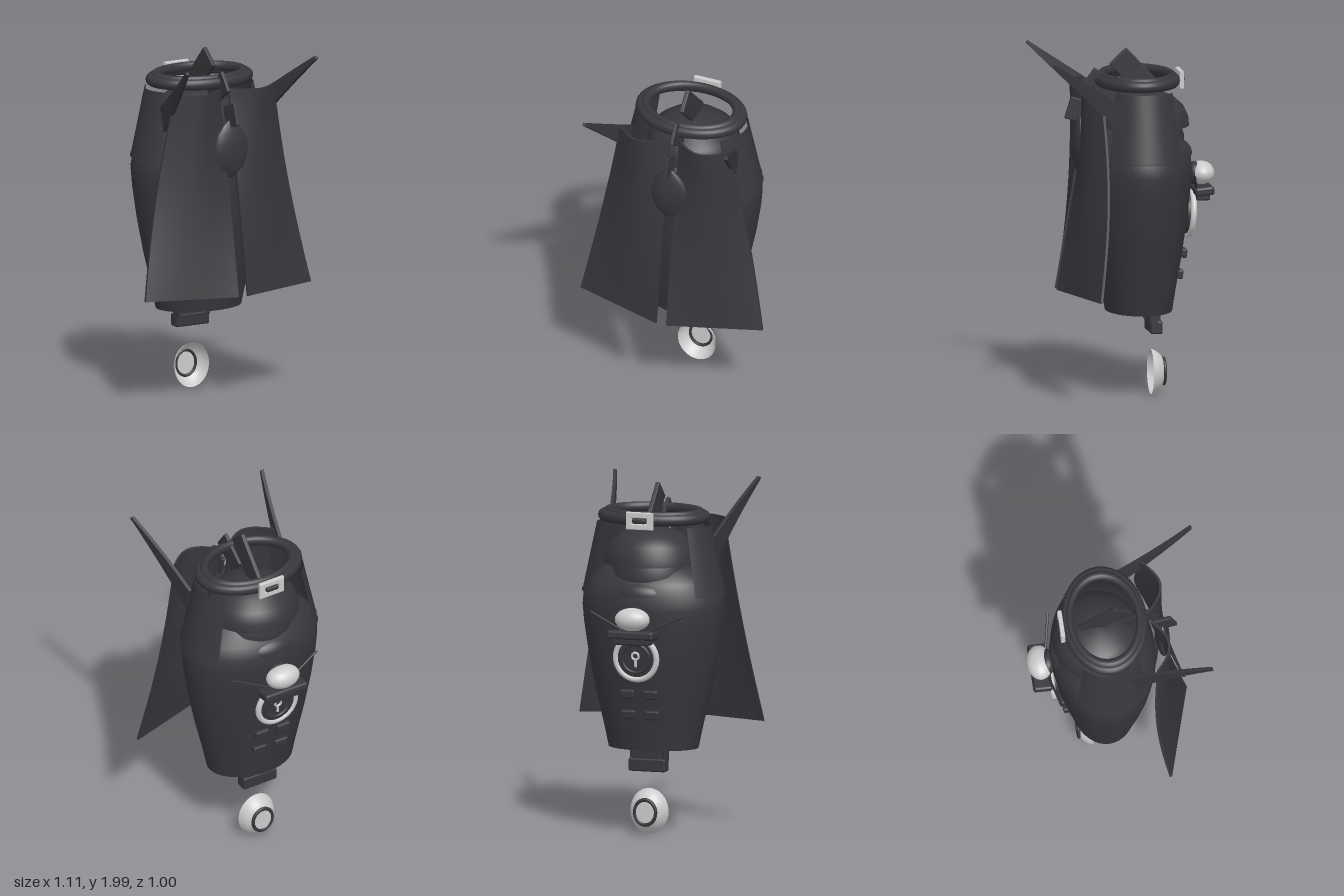
import * as THREE from 'three';
import { toCreasedNormals } from 'three/addons/utils/BufferGeometryUtils.js';
import { RoundedBoxGeometry } from 'three/addons/geometries/RoundedBoxGeometry.js';

const dark = new THREE.MeshStandardMaterial({ color: 0x37373c, side: THREE.DoubleSide });
const white = new THREE.MeshStandardMaterial({ color: 0xf0f0f0, side: THREE.DoubleSide });
const lerp = THREE.MathUtils.lerp;

export function createModel() {
  const model = new THREE.Group();

  const add = (name, geometry, material, x = 0, y = 0, z = 0, parent = model) => {
    const mesh = new THREE.Mesh(geometry, material);
    mesh.name = name;
    mesh.position.set(x, y, z);
    parent.add(mesh);
    return mesh;
  };
  const rbox = (w, h, d, r = 0.01) => new RoundedBoxGeometry(w, h, d, 2, r);
  const lathe = (pts, segments = 64) =>
    toCreasedNormals(new THREE.LatheGeometry(pts.map(p => new THREE.Vector2(...p)), segments), 0.6);
  // Thin sheet: fn maps u, v in 0..1 and thickness offset w to a point
  const sheet = (nu, nv, fn) => {
    const g = new THREE.BoxGeometry(1, 1, 1, nu, nv, 1);
    const p = g.attributes.position;
    for (let i = 0; i < p.count; i++) {
      p.setXYZ(i, ...fn(p.getX(i) + 0.5, p.getY(i) + 0.5, p.getZ(i)));
    }
    g.computeVertexNormals();
    return g;
  };

  // Torso shell, open at the bottom and closed at the shoulders
  const torso = add('torso', lathe([
    [0.262, 0.49], [0.29, 0.62], [0.338, 0.82], [0.378, 1.02], [0.405, 1.2],
    [0.414, 1.3], [0.408, 1.38], [0.37, 1.45], [0.29, 1.52], [0.15, 1.58], [0, 1.6],
  ]), dark, 0, 0, -0.07);
  torso.scale.z = 0.72;

  // Wrapped scarf under the collar
  const scarf = add('scarf', lathe([
    [0.2, 1.38], [0.225, 1.44], [0.23, 1.49], [0.21, 1.55], [0.257, 1.55], [0.252, 1.6],
    [0.225, 1.66], [0.17, 1.71], [0.1, 1.74], [0, 1.75],
  ]), dark, 0, 0, -0.1);
  scarf.scale.x = 1.05;
  const knot = add('scarfKnot', new THREE.SphereGeometry(1, 32, 12, 0, Math.PI * 2, 0, Math.PI / 2), dark, 0, 1.385, -0.29);
  knot.scale.set(0.15, 0.08, 0.085);

  // Collar rings
  for (const [r, tube, y] of [[0.295, 0.032, 1.812], [0.268, 0.028, 1.832]]) {
    const ring = add('collarRing', new THREE.TorusGeometry(r, tube, 16, 72), dark, 0, y, -0.06);
    ring.rotation.x = Math.PI / 2;
    ring.scale.y = 0.74;
  }

  // Collar buckle: a rounded frame with a dark centre
  const frame = new THREE.Shape();
  frame.moveTo(-0.075, -0.045).lineTo(0.075, -0.045).lineTo(0.075, 0.045).lineTo(-0.075, 0.045).closePath();
  const hole = new THREE.Path();
  hole.moveTo(-0.05, -0.022).lineTo(-0.05, 0.022).lineTo(0.05, 0.022).lineTo(0.05, -0.022).closePath();
  frame.holes.push(hole);
  add('collarBuckle', new THREE.ExtrudeGeometry(frame, {
    depth: 0.015, bevelThickness: 0.005, bevelSize: 0.005, bevelSegments: 2,
  }), white, 0, 1.812, -0.315);
  add('buckleCentre', rbox(0.08, 0.03, 0.04), dark, 0, 1.812, -0.31);

  // Mirrored side parts
  for (const side of [1, -1]) {
    const half = new THREE.Group();
    half.name = side > 0 ? 'leftSide' : 'rightSide';
    half.scale.x = side;
    model.add(half);

    // Cape panel: folded at the top, flaring and flattening downwards
    add('capePanel', sheet(24, 24, (u, v, w) => [
      lerp(0.03, lerp(0.555, 0.33, v), u),
      lerp(0.62, 1.785, v),
      lerp(lerp(0.4, 0.24, u), 0.2, v) + 0.085 * v * Math.sin(Math.PI * u)
        - 0.04 * u * Math.sin(Math.PI * v) + 0.014 * w,
    ]), dark, 0, 0, 0, half);

    // Shoulder spike, curving outwards to its tip
    add('shoulderSpike', sheet(16, 2, (u, v, w) => [
      0.32 + 0.08 * u + 0.032 * u * u + 0.02 * w,
      lerp(lerp(1.55, 1.69, v), lerp(1.965, 1.98, v), u),
      lerp(lerp(0.08, 0.045, v), lerp(0.5, 0.49, v), u),
    ]), dark, 0, 0, 0, half);

    // Shoulder panel wrapping the side, with a thin hem
    const panel = (name, rTop, rBottom, h, y) => {
      const m = add(name, new THREE.CylinderGeometry(rTop, rBottom, h, 24, 1, true, 0.8, 1.47), dark, 0, y, -0.065, half);
      m.scale.z = 0.73;
    };
    panel('shoulderPanel', 0.332, 0.416, 0.39, 1.575);
    panel('panelHem', 0.418, 0.42, 0.012, 1.384);

    // Whisker rod beside the lamp
    const path = new THREE.LineCurve3(new THREE.Vector3(0.07, 1.19, -0.39), new THREE.Vector3(0.28, 1.285, -0.345));
    add('whiskerRod', new THREE.TubeGeometry(path, 1, 0.007, 8), dark, 0, 0, 0, half);

    // Pouches
    for (const [y, z] of [[0.82, -0.315], [0.7, -0.292]]) {
      add('pouch', rbox(0.085, 0.052, 0.035), dark, 0.07, y, z, half).rotation.x = -0.12;
    }
    add('postStrip', rbox(0.02, 0.1, 0.05, 0.005), dark, 0.1, 0.47, -0.14, half);
  }

  // Tilted fin plates along the centre line
  for (const [z, y, len, h, tilt, thick] of [
    [-0.06, 1.833, 0.32, 0.135, 0.82, 0.026],
    [0.14, 1.775, 0.2, 0.13, 0.62, 0.022],
    [0.28, 1.645, 0.12, 0.13, 0.3, 0.022],
  ]) {
    add('finPlate', rbox(thick, h, len, 0.006), dark, 0, y, z).rotation.x = -tilt;
  }

  // Teardrop boss between the cape panels
  const boss = add('backBoss', lathe([
    [0, -0.17], [0.05, -0.155], [0.092, -0.105], [0.115, -0.03], [0.112, 0.03],
    [0.088, 0.09], [0.05, 0.135], [0.02, 0.16], [0, 0.165],
  ], 40), dark, 0, 1.455, 0.27);
  boss.scale.z = 0.36;

  // Back strap and its clasps
  add('backStrap', sheet(1, 12, (u, v, w) => [
    (u - 0.5) * 0.07, lerp(0.62, 1.35, v), lerp(0.15, 0.235, Math.sin(v * Math.PI / 2)) + 0.015 * w,
  ]), dark);
  add('strapClasp', rbox(0.055, 0.09, 0.04), white, 0, 0.69, 0.18);
  add('strapClasp', rbox(0.055, 0.038, 0.03), white, 0, 0.825, 0.195);

  // Chest dial with keyhole, tilted to follow the torso
  const dial = new THREE.Group();
  dial.name = 'chestDial';
  dial.position.set(0, 1.035, -0.355);
  dial.rotation.x = -0.08;
  model.add(dial);
  add('dialRim', new THREE.TorusGeometry(0.122, 0.017, 12, 56), white, 0, 0, -0.012, dial);
  add('dialFace', new THREE.CylinderGeometry(0.115, 0.115, 0.04, 48), dark, 0, 0, 0, dial).rotation.x = Math.PI / 2;
  add('dialInnerRim', new THREE.TorusGeometry(0.082, 0.009, 8, 48), dark, 0, 0, -0.02, dial);
  add('keyholeRing', new THREE.TorusGeometry(0.02, 0.007, 8, 24), white, 0, 0.015, -0.024, dial);
  add('keyholeStem', rbox(0.014, 0.045, 0.012, 0.004), white, 0, -0.028, -0.024, dial);

  // Lamp on a shelf above the dial
  const shelf = add('lampShelf', rbox(0.28, 0.05, 0.11, 0.015), dark, 0, 1.175, -0.43);
  shelf.rotation.x = 0.1;
  add('lampBase', rbox(0.22, 0.04, 0.08), dark, 0, 1.14, -0.425);
  add('lampGlobe', new THREE.SphereGeometry(1, 40, 24), white, 0, 1.265, -0.432).scale.set(0.102, 0.066, 0.073);
  add('lampBacking', new THREE.SphereGeometry(1, 32, 16), dark, 0, 1.265, -0.388).scale.set(0.075, 0.066, 0.045);

  // Post hanging below the torso
  add('postUpper', rbox(0.165, 0.32, 0.06), dark, 0, 0.57, -0.155);
  add('postLower', rbox(0.22, 0.075, 0.07), dark, 0, 0.398, -0.157);

  // Separate cup, open towards the front, with a dark ring at its base
  const cup = new THREE.Group();
  cup.name = 'cup';
  cup.position.set(0, 0.131, -0.14);
  cup.scale.y = 1.13;
  model.add(cup);
  add('cupShell', lathe([
    [0, -0.068], [0.07, -0.066], [0.09, -0.05], [0.106, -0.025], [0.115, 0],
  ], 48), white, 0, 0, 0, cup).rotation.x = Math.PI / 2;
  add('cupRing', new THREE.TorusGeometry(0.063, 0.01, 12, 40), dark, 0, 0, -0.074, cup);
  add('cupInnerRing', new THREE.TorusGeometry(0.066, 0.006, 8, 40), dark, 0, 0, -0.06, cup);
  add('cupBase', new THREE.CylinderGeometry(0.06, 0.06, 0.012, 40), white, 0, 0, -0.072, cup).rotation.x = Math.PI / 2;

  return model;
}
